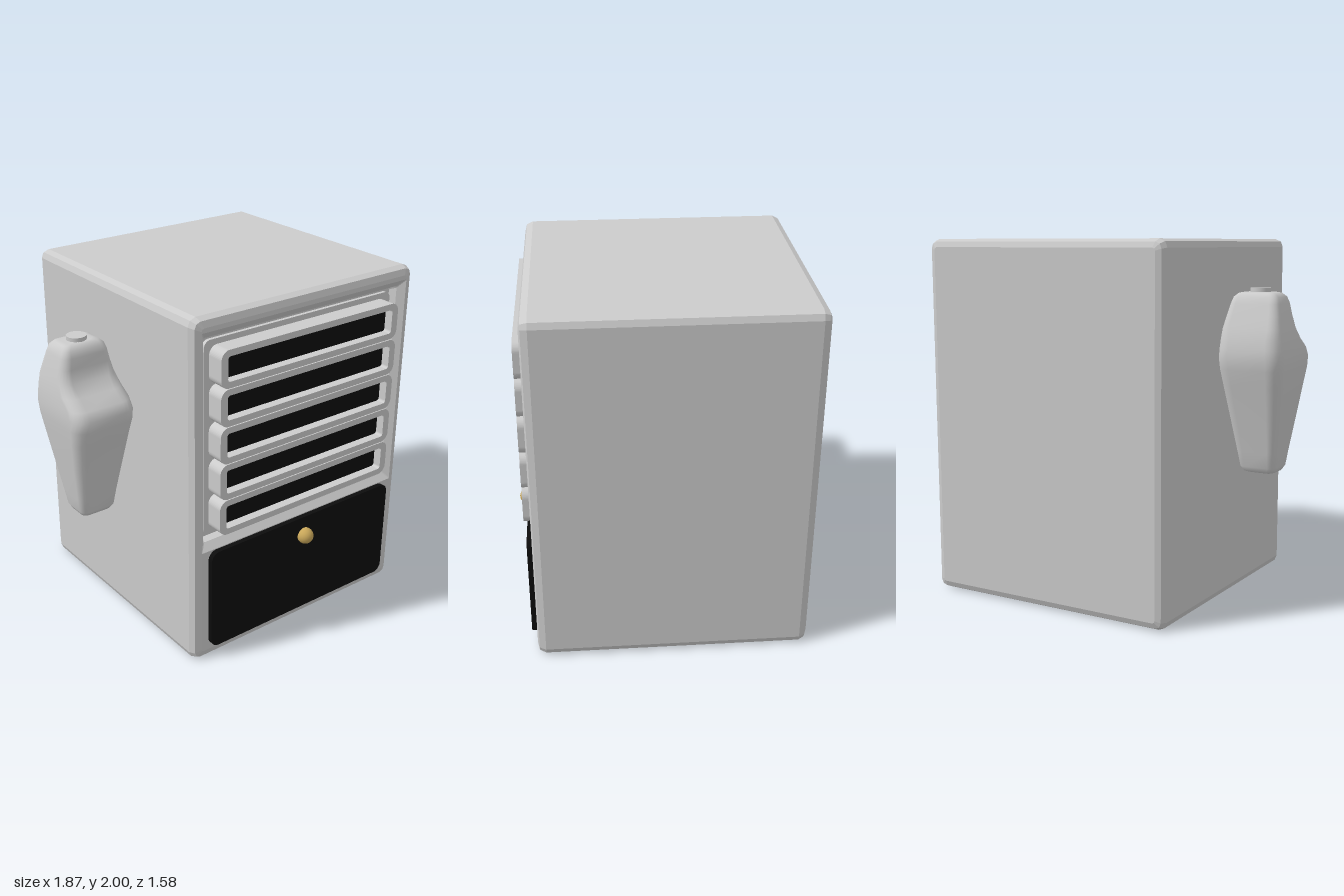
import * as THREE from 'three';

const grey = new THREE.MeshStandardMaterial({ color: 0xcccccc });
const black = new THREE.MeshStandardMaterial({ color: 0x0c0c0c });
const brass = new THREE.MeshStandardMaterial({ color: 0xc9a75a });

function add(parent, name, geometry, material, x = 0, y = 0, z = 0) {
  const mesh = new THREE.Mesh(geometry, material);
  mesh.name = name;
  mesh.position.set(x, y, z);
  parent.add(mesh);
  return mesh;
}

// Skin over rounded-rectangle rings [x0, x1, y0, y1, radius, z], capped at both ends
function loft(rings, segments, flat) {
  const pos = [], idx = [], n = 4 * (segments + 1);
  for (const [x0, x1, y0, y1, r, z] of rings) {
    const corners = [[x1 - r, y0 + r], [x1 - r, y1 - r], [x0 + r, y1 - r], [x0 + r, y0 + r]];
    corners.forEach(([cx, cy], c) => {
      for (let s = 0; s <= segments; s++) {
        const a = (c - 1 + s / segments) * Math.PI / 2;
        pos.push(cx + r * Math.cos(a), cy + r * Math.sin(a), z);
      }
    });
  }
  for (let i = 0; i < rings.length - 1; i++) {
    for (let j = 0; j < n; j++) {
      const a = i * n + j, b = i * n + (j + 1) % n;
      idx.push(a, b, b + n, a, b + n, a + n);
    }
  }
  const last = (rings.length - 1) * n;
  for (let j = 1; j < n - 1; j++) {
    idx.push(0, j + 1, j, last, last + j, last + j + 1);
  }
  let g = new THREE.BufferGeometry();
  g.setAttribute('position', new THREE.Float32BufferAttribute(pos, 3));
  g.setIndex(idx);
  if (flat) g = g.toNonIndexed();
  g.computeVertexNormals();
  return g;
}

function roundedRect(path, w, h, r) {
  path.absarc(w / 2 - r, h / 2 - r, r, 0, Math.PI / 2);
  path.absarc(-w / 2 + r, h / 2 - r, r, Math.PI / 2, Math.PI);
  path.absarc(-w / 2 + r, -h / 2 + r, r, Math.PI, Math.PI * 1.5);
  path.absarc(w / 2 - r, -h / 2 + r, r, Math.PI * 1.5, Math.PI * 2);
  path.closePath();
  return path;
}

function plate(w, h, r, depth, hole) {
  const shape = roundedRect(new THREE.Shape(), w, h, r);
  if (hole) shape.holes.push(roundedRect(new THREE.Path(), ...hole));
  return new THREE.ExtrudeGeometry(shape, { depth, bevelEnabled: false, curveSegments: 6 });
}

export function createModel() {
  const model = new THREE.Group();
  model.name = 'cabinetWithSidePouch';

  // Bevelled cabinet shell, its front stepping inward into a shallow recess
  const shell = (inset, r, z) => [-0.56 + inset, 0.935 - inset, 0.003 + inset, 2 - inset, r, z];
  add(model, 'cabinet', loft([
    shell(0.045, 0.015, -0.79),
    shell(0.015, 0.035, -0.777),
    shell(0, 0.045, -0.745),
    shell(0, 0.045, 0.655),
    shell(0.015, 0.035, 0.69),
    shell(0.05, 0.015, 0.70),
    [-0.51, 0.885, 0.69, 1.925, 0.005, 0.70],
    [-0.475, 0.85, 0.73, 1.885, 0.01, 0.665],
    [-0.465, 0.84, 0.735, 1.875, 0.02, 0.62],
  ], 2, true), grey);

  // Rounded backing panel inside the recess
  add(model, 'recessPanel', plate(1.28, 1.1, 0.04, 0.025), grey, 0.1875, 1.305, 0.615);

  // Stack of vent frames with dark inserts
  for (let i = 0; i < 5; i++) {
    const y = 1.722 - i * 0.2095;
    add(model, 'ventFrame', plate(1.215, 0.205, 0.05, 0.11, [1.13, 0.135, 0.015]), grey, 0.1875, y, 0.63);
    add(model, 'ventInsert', plate(1.14, 0.145, 0.015, 0.04), black, 0.1875, y, 0.65);
  }

  // Lower drawer front and its knob
  add(model, 'drawerFront', plate(1.3, 0.605, 0.05, 0.035), black, 0.1875, 0.3825, 0.695);
  add(model, 'drawerKnob', new THREE.SphereGeometry(0.047, 24, 16), brass, 0.187, 0.571, 0.743);

  // Side pouch: sections [height, half width, back z, front z]
  const pouch = new THREE.Group();
  pouch.name = 'sidePouch';
  const sections = [
    [0.73, 0.07, -0.06, 0.05], [0.737, 0.09, -0.08, 0.07], [0.765, 0.107, -0.1, 0.09],
    [0.85, 0.12, -0.12, 0.105], [1.05, 0.15, -0.17, 0.15], [1.22, 0.173, -0.215, 0.19],
    [1.31, 0.184, -0.24, 0.215], [1.37, 0.187, -0.25, 0.22], [1.42, 0.184, -0.247, 0.19],
    [1.47, 0.18, -0.24, 0.12], [1.53, 0.17, -0.225, 0.06], [1.6, 0.154, -0.2, 0.04],
    [1.66, 0.14, -0.18, 0.035], [1.695, 0.128, -0.165, 0.02], [1.715, 0.105, -0.145, 0],
    [1.72, 0.08, -0.125, -0.02],
  ];
  const rings = sections.map(([y, w, back, front]) =>
    [-w, w, -front, -back, Math.min(w, (front - back) / 2) * 0.42, y]);
  const body = loft(rings, 5, false).rotateX(-Math.PI / 2);
  add(pouch, 'pouchBody', body, grey, -0.752, 0, 0);
  add(pouch, 'pouchButton', new THREE.CylinderGeometry(0.055, 0.055, 0.035, 20), grey, -0.752, 1.724, -0.07);
  model.add(pouch);

  return model;
}
